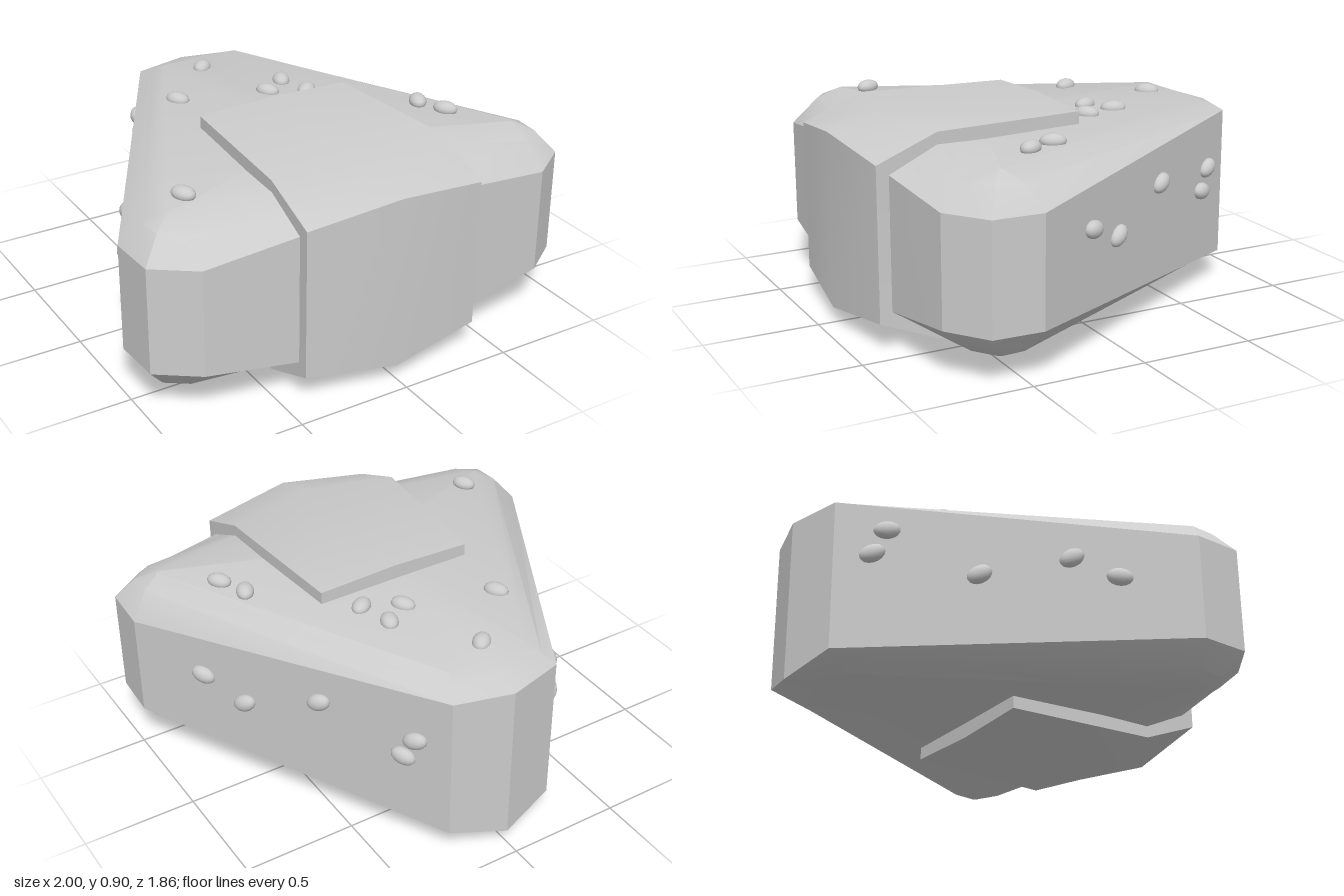
import * as THREE from 'three';
import { toCreasedNormals } from 'three/addons/utils/BufferGeometryUtils.js';

const MID = 0.455; // height of the horizontal mirror plane

// Skin a stack of closed rings of [x, y, z] points and close both ends.
function loft(rings, crease) {
  const pos = [];
  const tri = (a, b, c) => pos.push(...a, ...b, ...c);
  const n = rings[0].length;
  const centre = (r) => [0, 1, 2].map((k) => r.reduce((s, p) => s + p[k], 0) / n);
  const first = rings[0], last = rings[rings.length - 1];
  const c0 = centre(first), c1 = centre(last);
  for (let i = 0; i < n; i++) {
    const j = (i + 1) % n;
    for (let k = 0; k < rings.length - 1; k++) {
      const a = rings[k], b = rings[k + 1];
      tri(a[i], b[j], a[j]);
      tri(a[i], b[i], b[j]);
    }
    tri(c0, first[i], first[j]);
    tri(c1, last[j], last[i]);
  }
  const geo = new THREE.BufferGeometry();
  geo.setAttribute('position', new THREE.Float32BufferAttribute(pos, 3));
  return toCreasedNormals(geo, crease);
}

// Mirror a half outline (first and last points on x = 0) into a full ring.
const mirrorRing = (half) => [
  ...half,
  ...half.slice(1, -1).reverse().map(([x, y, z]) => [-x, y, z]),
];
const flip = (half) => half.map(([x, y, z]) => [x, 2 * MID - y, z]);

export function createModel() {
  const group = new THREE.Group();
  const material = new THREE.MeshStandardMaterial({ color: 0xcccccc });
  const add = (geo, name, parent = group) => {
    const mesh = new THREE.Mesh(geo, material);
    mesh.name = name;
    parent.add(mesh);
    return mesh;
  };

  // Rounded triangular rice body: wall edge, bevel middle and top face edge
  const outer = [
    [0, 0.785, -0.93], [0.25, 0.787, -0.865], [1, 0.69, 0.45], [0.99, 0.69, 0.67],
    [0.815, 0.69, 0.795], [0.41, 0.74, 0.83], [0, 0.78, 0.86],
  ];
  const inner = [
    [0, 0.845, -0.75], [0.19, 0.845, -0.745], [0.835, 0.83, 0.545], [0.83, 0.83, 0.555],
    [0.82, 0.83, 0.56], [0.41, 0.84, 0.62], [0, 0.85, 0.68],
  ];
  const middle = outer.map((p, i) => {
    const m = p.map((v, k) => (v + inner[i][k]) / 2);
    if (i >= 2 && i <= 4) m[1] += 0.03; // fuller front corners
    return m;
  });
  const lowerOuter = flip(outer);
  lowerOuter[0][1] = 0.065;
  const lowerMiddle = flip(middle);
  lowerMiddle[0][1] = 0.065;
  const levels = [flip(inner), lowerMiddle, lowerOuter, outer, middle, inner];
  add(loft(levels.map(mirrorRing), 0.5), 'riceBody');

  // Seaweed wrap: folded over top, front and underside, peaked on the centre line
  const section = (x, xBack, top, zTop, edge, zFront) => {
    const upper = [[x, edge, zFront], [x, top, zTop], [xBack, top, -0.055]];
    return [...upper, ...flip(upper).reverse()];
  };
  add(loft([
    section(-0.413, -0.362, 0.892, 0.62, 0.785, 0.885),
    section(0, 0, 0.905, 0.715, 0.838, 0.93),
    section(0.413, 0.362, 0.892, 0.62, 0.785, 0.885),
  ], 0.5), 'seaweedWrap');

  // Loose rice grains, long axis along local x
  const grains = new THREE.Group();
  grains.name = 'riceGrains';
  group.add(grains);
  const grainGeo = new THREE.SphereGeometry(1, 14, 10);
  grainGeo.scale(0.056, 0.038, 0.032);

  // Grains on the top face: x, z, turn in degrees
  const topGrains = [
    [-0.04, -0.64, 45], [-0.31, -0.365, 120], [0.08, -0.245, 118], [0.195, -0.32, 68],
    [0.235, -0.165, 38], [0.59, 0.195, 65], [0.645, 0.325, 122], [-0.715, 0.46, 115],
  ];
  for (const [x, z, deg] of topGrains) {
    const g = add(grainGeo, 'topGrain', grains);
    g.position.set(x, 0.845, z);
    g.rotation.set(-Math.PI / 2, 0, THREE.MathUtils.degToRad(deg));
  }

  // Grains on the slanted side walls: side, z, y, turn in degrees
  const sideGrains = [
    [1, 0.145, 0.535, -10], [1, -0.03, 0.455, 30], [1, -0.345, 0.59, 25],
    [1, -0.73, 0.555, 20], [1, -0.685, 0.46, -10],
    [-1, -0.68, 0.66, 5], [-1, -0.73, 0.55, 25], [-1, -0.35, 0.47, 30],
    [-1, -0.02, 0.56, 30], [-1, 0.15, 0.48, -5],
  ];
  const wallYaw = Math.atan2(1.315, -0.75); // turns local z to the wall normal
  for (const [side, z, y, deg] of sideGrains) {
    const g = add(grainGeo, 'sideGrain', grains);
    const x = 0.25 + (0.75 * (z + 0.865)) / 1.315;
    g.position.set(side * (x + 0.008), y, z);
    g.rotation.set(0, side * wallYaw, THREE.MathUtils.degToRad(deg), 'YXZ');
  }
  return group;
}
